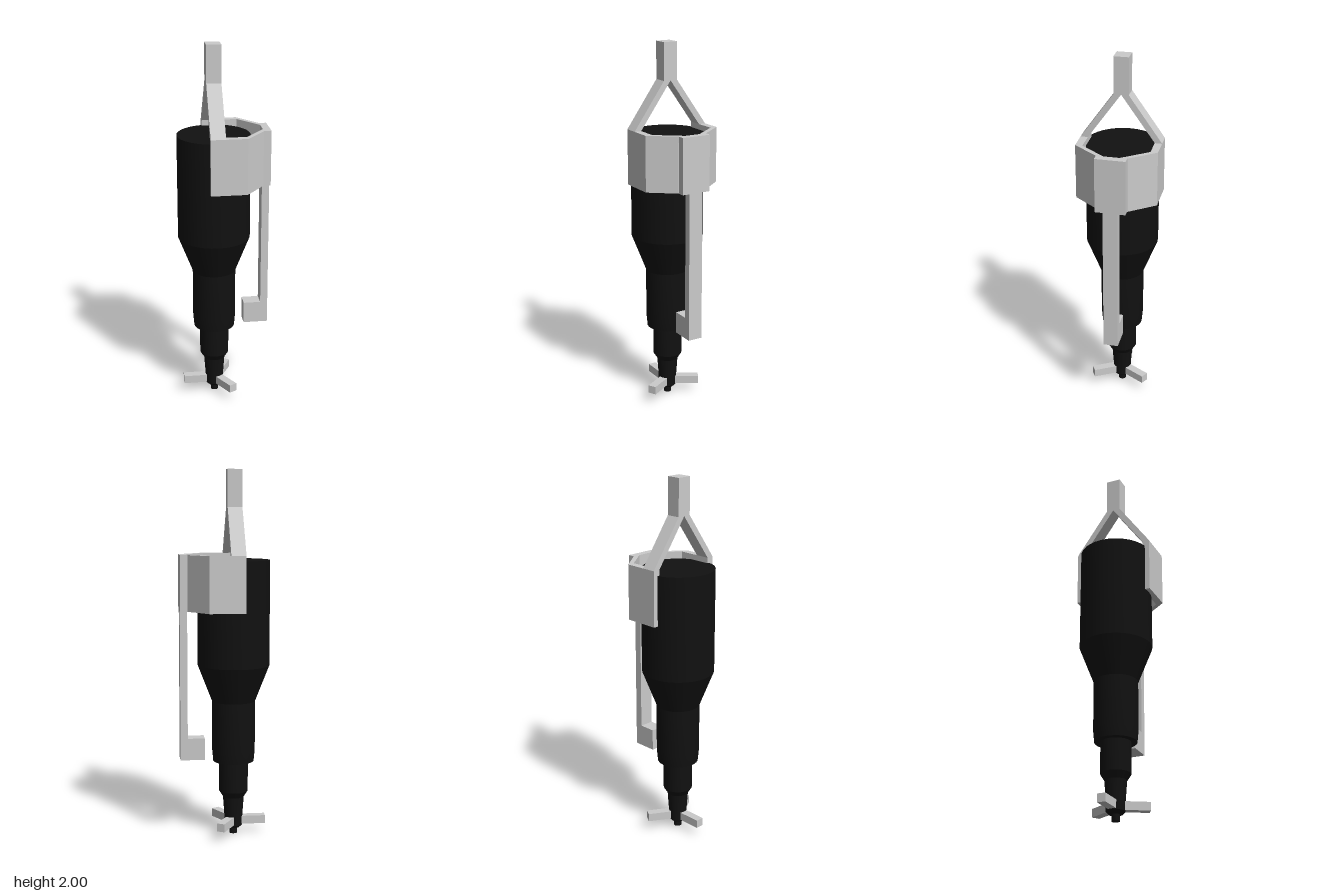
import * as THREE from 'three';
import { toCreasedNormals } from 'three/addons/utils/BufferGeometryUtils.js';

const AXIS_X = -0.05;

export function createModel() {
  const model = new THREE.Group();
  const grey = new THREE.MeshStandardMaterial({ color: 0xcccccc, flatShading: true });
  const black = new THREE.MeshStandardMaterial({ color: 0x111111 });

  const add = (name, geometry, material = grey) => {
    const mesh = new THREE.Mesh(geometry, material);
    mesh.name = name;
    model.add(mesh);
    return mesh;
  };
  // Box given by its min and max corners
  const box = (name, [x0, y0, z0], [x1, y1, z1]) => {
    const mesh = add(name, new THREE.BoxGeometry(x1 - x0, y1 - y0, z1 - z0));
    mesh.position.set((x0 + x1) / 2, (y0 + y1) / 2, (z0 + z1) / 2);
    return mesh;
  };
  const extrude = (points, depth) => new THREE.ExtrudeGeometry(
    new THREE.Shape(points.map(([x, y]) => new THREE.Vector2(x, y))),
    { depth, bevelEnabled: false });

  // Stepped body, from the tip up to the closed top
  const profile = [
    [0, 0], [0.021, 0], [0.021, 0.035], [0.035, 0.035], [0.05, 0.05], [0.05, 0.1],
    [0.058, 0.21], [0.08, 0.245], [0.08, 0.415], [0.112, 0.415], [0.118, 0.48],
    [0.118, 0.75], [0.196, 0.95], [0.196, 1.52], [0, 1.52],
  ].map(([r, y]) => new THREE.Vector2(r, y));
  const body = add('body', toCreasedNormals(new THREE.LatheGeometry(profile, 32), 0.3), black);
  body.position.x = AXIS_X;

  // Three blades around the tip
  for (let i = 0; i < 3; i++) {
    const blade = new THREE.BoxGeometry(0.175, 0.045, 0.045);
    blade.translate(0.0875, 0.077, 0);
    blade.rotateY(Math.PI / 3 + (i * Math.PI * 2) / 3);
    add('blade' + (i + 1), blade).position.x = AXIS_X;
  }

  // Angled clamp arms (plan outline mirrored front to back) and the block joining them
  const arm = [[-0.092, 0.178], [0.1, 0.178], [0.205, 0.042], [0.205, 0.082], [0.1, 0.217], [-0.092, 0.217]];
  for (const side of [1, -1]) {
    const points = arm.map(([x, z]) => [x, z * side]);
    const geometry = extrude(points, 0.3);
    geometry.rotateX(Math.PI / 2);
    add(side > 0 ? 'frontClampArm' : 'backClampArm', geometry).position.y = 1.55;
  }
  box('clampBlock', [0.205, 1.25, -0.081], [0.245, 1.55, 0.081]);

  // Side bar and its foot
  box('sideBar', [0.205, 0.43, -0.04], [0.245, 1.25, 0.04]);
  box('sideBarFoot', [0.112, 0.43, -0.04], [0.205, 0.55, 0.04]);

  // Forked hanger above the clamp
  const fork = extrude([
    [0.178, 1.55], [0.217, 1.55], [0.04, 1.8], [0.04, 2], [-0.04, 2], [-0.04, 1.8],
    [-0.217, 1.55], [-0.178, 1.55], [0, 1.8],
  ], 0.079);
  fork.rotateY(-Math.PI / 2);
  add('hanger', fork).position.x = -0.013;

  return model;
}
